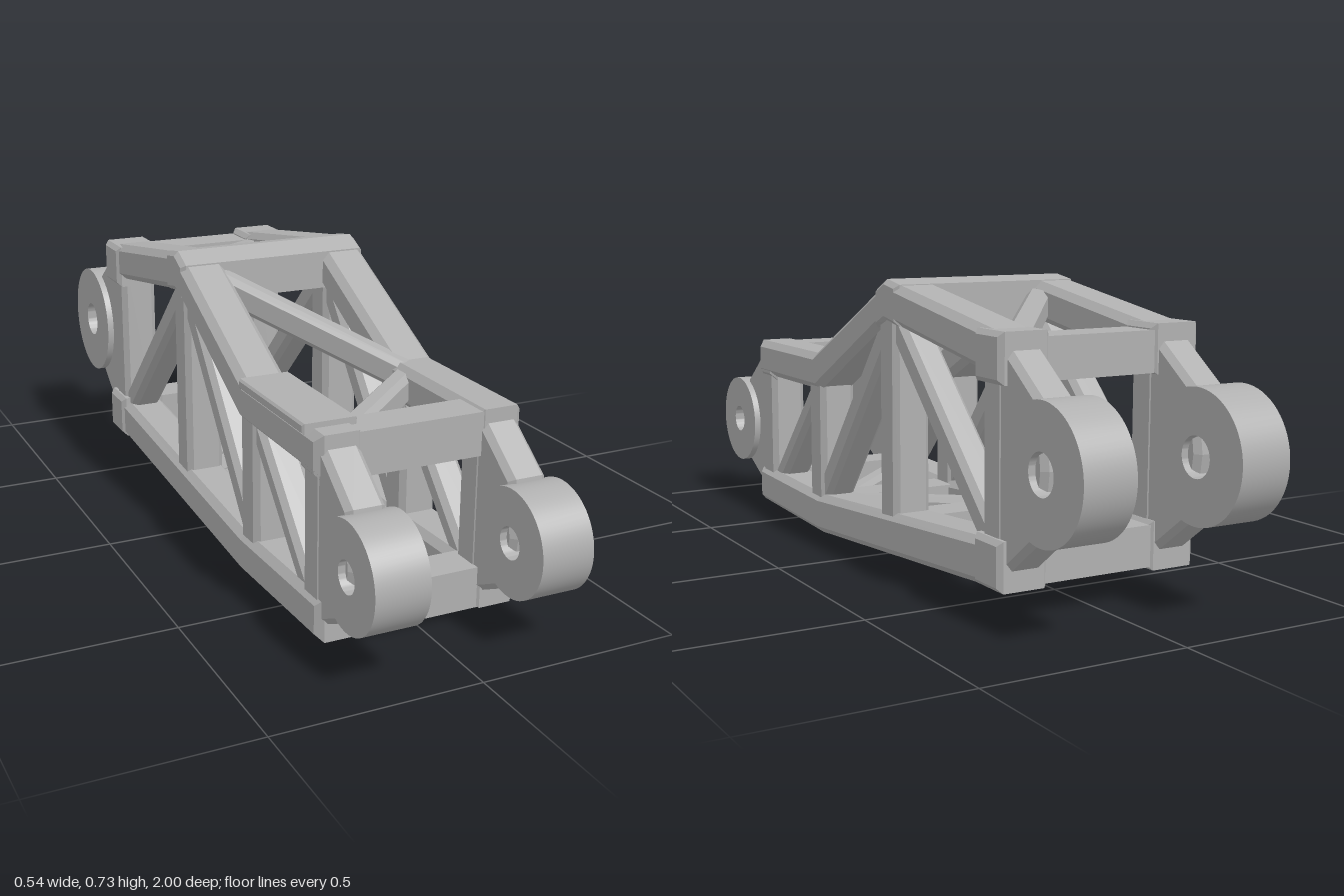
import * as THREE from 'three';
import { toCreasedNormals } from 'three/addons/utils/BufferGeometryUtils.js';

const grey = new THREE.MeshStandardMaterial({ color: 0xb0b0b0 });
grey.name = 'grey metal';

export function createModel() {
  const model = new THREE.Group();
  model.name = 'trussArm';

  const add = (name, geometry) => {
    const mesh = new THREE.Mesh(geometry, grey);
    mesh.name = name;
    model.add(mesh);
    return mesh;
  };

  // Side outline given as [z, y] points, extruded across x with chamfered edges
  const slab = (name, points, x, width, c = 0.018) => {
    const shape = new THREE.Shape(points.map(([z, y]) => new THREE.Vector2(z, y)));
    const depth = width - 2 * c;
    const geo = new THREE.ExtrudeGeometry(shape, {
      depth, bevelEnabled: true, bevelThickness: c, bevelSize: c, bevelOffset: -c, bevelSegments: 1,
    });
    geo.translate(0, 0, -depth / 2).rotateY(-Math.PI / 2).translate(x, 0, 0);
    return add(name, geo);
  };

  const rect = (z0, z1, y0, y1) => [[z0, y0], [z1, y0], [z1, y1], [z0, y1]];

  // Straight bar with chamfered section: w lies across `up`, h along it
  const beam = (name, a, b, w, h, up) => {
    const from = new THREE.Vector3(...a), to = new THREE.Vector3(...b);
    const c = 0.014, p = w / 2, q = h / 2;
    const section = new THREE.Shape([
      [-p + c, -q], [p - c, -q], [p, -q + c], [p, q - c],
      [p - c, q], [-p + c, q], [-p, q - c], [-p, -q + c],
    ].map(([x, y]) => new THREE.Vector2(x, y)));
    const geo = new THREE.ExtrudeGeometry(section, { depth: from.distanceTo(to), bevelEnabled: false });
    const mesh = add(name, geo);
    mesh.up.set(...up);
    mesh.position.copy(from);
    mesh.lookAt(to);
  };

  // Pivot bushing with a through hole, axis along x
  const bushing = (name, x, y, z, radius, hole) => {
    const ring = new THREE.Shape().absarc(0, 0, radius, 0, Math.PI * 2);
    ring.holes.push(new THREE.Path().absarc(0, 0, hole, 0, Math.PI * 2, true));
    const geo = new THREE.ExtrudeGeometry(ring, { depth: 0.13, bevelEnabled: false, curveSegments: 32 });
    geo.translate(0, 0, -0.065).rotateY(-Math.PI / 2);
    add(name, toCreasedNormals(geo, 0.6)).position.set(x, y, z);
  };

  for (const side of [1, -1]) {
    const x = side * 0.2;

    // Long chords
    slab('upperChord', [[0.72, 0.4], [0.72, 0.5], [0.32, 0.5], [-0.12, 0.722],
      [-0.67, 0.635], [-0.67, 0.535], [-0.12, 0.622], [0.3, 0.4]], x, 0.12);
    slab('lowerChord', [[0.73, 0.015], [0.73, 0.12], [0.3, 0.108], [-0.67, 0.182],
      [-0.67, 0.072], [0.3, 0]], x, 0.12);

    // Upright posts: z centre, bottom, top
    for (const [z, y0, y1] of [[0.675, 0.07, 0.45], [0.325, 0.05, 0.45], [-0.115, 0.08, 0.67], [-0.625, 0.12, 0.59]])
      beam('post', [x, y0, z], [x, y1, z], 0.09, 0.1, [1, 0, 0]);

    // Side diagonals as z, y to z, y
    for (const [z0, y0, z1, y1, w] of [
      [0.645, 0.08, 0.335, 0.41, 0.058], [0.3, 0.12, -0.1, 0.615, 0.068], [-0.13, 0.62, -0.61, 0.15, 0.068],
    ]) beam('sideDiagonal', [x, y0, z0], [x, y1, z1], w, 0.085, [1, 0, 0]);

    // Rear corner collars
    slab('upperCollar', rect(-0.685, -0.57, 0.527, 0.643), side * 0.202, 0.13, 0.012);
    slab('lowerCollar', rect(-0.685, -0.57, 0.07, 0.187), side * 0.202, 0.13, 0.012);

    // Lugs carrying the bushings
    slab('frontLug', [[0.66, 0.49], [0.715, 0.47], [0.84, 0.375], [0.86, 0.24],
      [0.84, 0.115], [0.73, 0.06], [0.66, 0.05]], x, 0.095, 0.014);
    slab('rearLug', [[-0.62, 0.61], [-0.68, 0.605], [-0.81, 0.51], [-0.83, 0.364],
      [-0.81, 0.215], [-0.68, 0.115], [-0.62, 0.12]], x, 0.095, 0.014);
    bushing('frontBushing', x, 0.243, 0.873, 0.127, 0.038);
    bushing('rearBushing', x, 0.364, -0.845, 0.155, 0.048);
  }

  // Cross bars
  slab('frontUpperBar', rect(0.62, 0.718, 0.39, 0.495), 0, 0.515);
  slab('peakBar', [[-0.065, 0.6], [-0.065, 0.698], [-0.12, 0.725], [-0.185, 0.714], [-0.185, 0.612], [-0.12, 0.622]],
    0, 0.52, 0.012);
  slab('rearUpperBar', rect(-0.68, -0.58, 0.53, 0.628), 0, 0.5);
  slab('frontLowerBar', rect(0.625, 0.725, 0.016, 0.118), 0, 0.515);
  slab('bendLowerBar', rect(0.27, 0.37, 0.008, 0.1), 0, 0.4);
  slab('middleLowerBar', rect(-0.165, -0.065, 0.04, 0.13), 0, 0.4);
  slab('rearLowerBar', rect(-0.68, -0.58, 0.078, 0.178), 0, 0.5);

  // Zigzag bracing across the top and bottom
  for (const [a, b] of [
    [[-0.17, 0.45, 0.66], [0.18, 0.45, 0.33]],
    [[-0.17, 0.65, -0.09], [0.19, 0.455, 0.34]],
    [[-0.17, 0.66, -0.16], [0.17, 0.59, -0.585]],
    [[-0.17, 0.065, 0.66], [0.18, 0.055, 0.33]],
    [[-0.17, 0.09, -0.09], [0.19, 0.06, 0.34]],
    [[-0.17, 0.095, -0.16], [0.17, 0.125, -0.585]],
  ]) beam('crossDiagonal', a, b, 0.058, 0.075, [0, 1, 0]);

  // Cover plate on one front upper chord
  slab('coverPlate', rect(0.32, 0.67, 0.488, 0.513), -0.203, 0.133, 0.005);

  return model;
}
